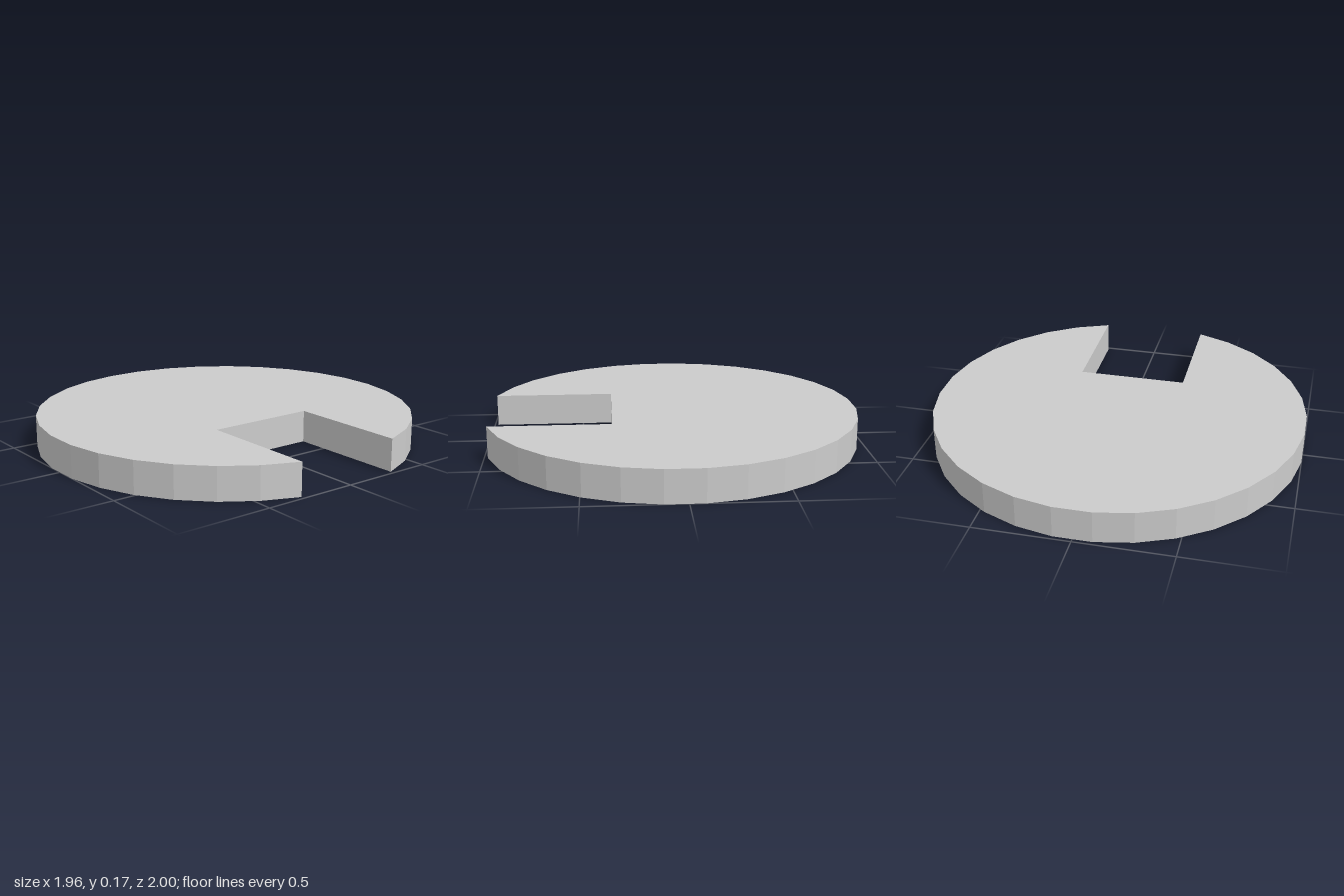
import * as THREE from 'three';

export function createModel() {
  const group = new THREE.Group();
  const radius = 1.005, centerX = 0.02, height = 0.17;
  const notchHalf = 0.293, notchX = 0.34, segments = 29;

  // Faceted disc outline, running from one notch corner round to the other
  const start = Math.asin(notchHalf / radius);
  const step = (2 * Math.PI - 2 * start) / segments;
  const points = [];
  for (let i = 0; i <= segments; i++) {
    const a = start + i * step;
    points.push(new THREE.Vector2(centerX + radius * Math.cos(a), radius * Math.sin(a)));
  }

  // Square inner end of the notch
  points.push(new THREE.Vector2(notchX, -notchHalf), new THREE.Vector2(notchX, notchHalf));

  // Extrude the outline and lay it flat on the ground
  const geometry = new THREE.ExtrudeGeometry(new THREE.Shape(points), { depth: height, bevelEnabled: false });
  geometry.rotateX(-Math.PI / 2);
  const disc = new THREE.Mesh(geometry, new THREE.MeshStandardMaterial({ color: 0xcccccc, flatShading: true }));
  disc.name = 'notchedDisc';
  group.add(disc);
  return group;
}
